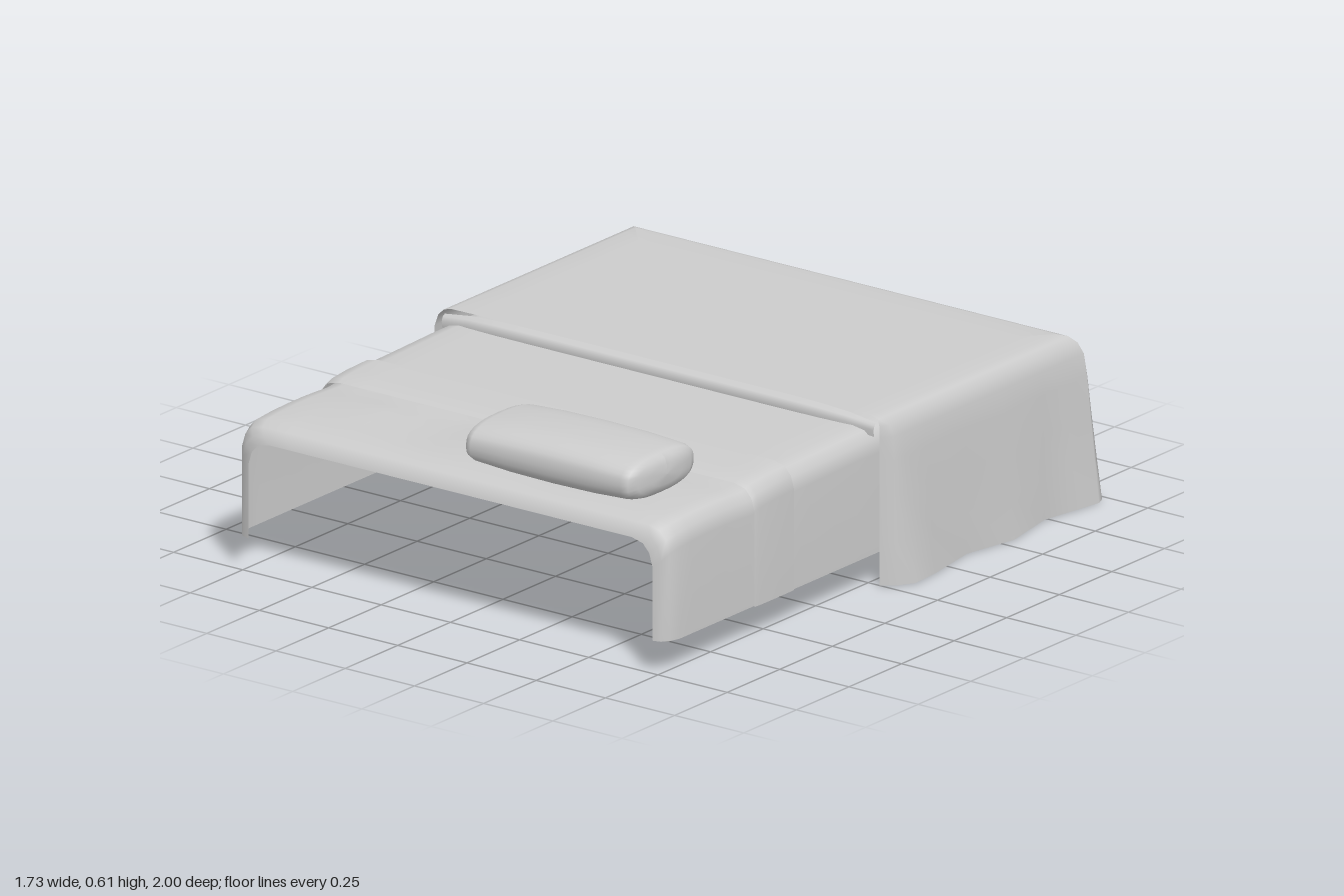
import * as THREE from 'three';

const material = new THREE.MeshStandardMaterial({ color: 0xcccccc, side: THREE.DoubleSide });

// Smooth skin over rows of [x, y, z] points, all rows of equal length
function loft(name, rows) {
  const n = rows[0].length, index = [];
  for (let i = 0; i < rows.length - 1; i++) {
    for (let j = 0; j < n - 1; j++) {
      const a = i * n + j, b = a + 1, c = a + n, d = c + 1;
      index.push(a, b, c, b, d, c);
    }
  }
  const g = new THREE.BufferGeometry();
  g.setAttribute('position', new THREE.Float32BufferAttribute(rows.flat(2), 3));
  g.setIndex(index);
  g.computeVertexNormals();
  const mesh = new THREE.Mesh(g, material);
  mesh.name = name;
  return mesh;
}

// Upside-down U across the bed: half width w, top height t, lower edge at 0.1
function sheetRow(z, w, t, bump = () => 0) {
  const half = [[w, 0.1], [w, t - 0.075], [w - 0.012, t - 0.035], [w - 0.035, t - 0.01], [w - 0.075, t]];
  const row = half.map(([x, y]) => [x, y, z]);
  for (let i = 1; i < 16; i++) {
    const x = (w - 0.075) * (1 - i / 8);
    row.push([x, t + bump(x, z), z]);
  }
  return row.concat(half.reverse().map(([x, y]) => [-x, y, z]));
}

// Shallow zigzag creases near the pillow end
function crease(x, z) {
  const fade = Math.max(0, 1 - Math.abs(z - 0.72) / 0.18);
  return 0.009 * fade * Math.cos(x * 12.5);
}

function createSheet() {
  const rows = [[-0.93, 0.775, 0.45], [-0.5, 0.78, 0.455], [0, 0.78, 0.46], [0.55, 0.782, 0.46],
    [0.6, 0.782, 0.455], [0.66, 0.782, 0.458], [0.72, 0.782, 0.46], [0.8, 0.782, 0.46], [0.88, 0.782, 0.457],
    [0.94, 0.782, 0.452], [0.975, 0.772, 0.44], [0.993, 0.755, 0.42], [1, 0.73, 0.4]];
  return loft('fittedSheet', rows.map(([z, w, t]) => sheetRow(z, w, t, crease)));
}

function createBlanket() {
  // Wavy hem, from the left front corner round the back to the right one
  const hem = [[0.79, 0], [0.83, -0.03], [0.86, -0.08], [0.855, -0.18], [0.825, -0.37], [0.86, -0.55], [0.825, -0.74],
    [0.845, -0.85], [0.862, -0.95], [0.85, -0.98], [0.8, -0.99], [0.7, -0.965], [0.55, -0.945], [0.35, -0.96],
    [0.12, -0.99], [-0.17, -0.945], [-0.42, -1], [-0.63, -0.955], [-0.72, -0.965], [-0.8, -0.985], [-0.845, -0.97],
    [-0.866, -0.92], [-0.85, -0.83], [-0.868, -0.74], [-0.84, -0.62], [-0.868, -0.38], [-0.85, -0.2], [-0.82, 0]];
  // height, share of hem shape, inset from the shoulder, scale towards the middle
  const levels = [[0, 1, 0, 1], [0.13, 0.68, 0, 1], [0.26, 0.38, 0, 1], [0.38, 0.12, 0, 1], [0.45, 0, 0.003, 1],
    [0.485, 0, 0.016, 1], [0.505, 0, 0.035, 1], [0.513, 0, 0.06, 1], [0.514, 0, 0.06, 0.9], [0.514, 0, 0.06, 0.5],
    [0.514, 0, 0.06, 0]];
  return loft('blanket', levels.map(([y, share, inset, s]) => hem.map(([x, z]) => {
    const lim = 0.82 - inset;
    const tx = THREE.MathUtils.clamp(x, -lim, lim), tz = Math.max(z, -0.94 + inset);
    return [(tx + (x - tx) * share) * s, y, (tz + (z - tz) * share) * s];
  })));
}

// Rolled front edge of the blanket
function createBlanketLip() {
  const profile = [[0.475, 0.032], [0.495, 0.036], [0.508, 0.025], [0.514, 0]];
  return loft('blanketLip', profile.map(([y, z]) => {
    const row = [];
    for (let i = 0; i <= 16; i++) {
      const u = 1 - i / 8, end = Math.pow(Math.abs(u), 8);
      row.push([-u * 0.78, y - 0.02 * end, z * (1 - 0.6 * end)]);
    }
    return row.reverse();
  }));
}

function createPillow() {
  // x, half depth, half height
  const sections = [[-0.316, 0, 0], [-0.314, 0.07, 0.03], [-0.306, 0.125, 0.05], [-0.292, 0.157, 0.06],
    [-0.27, 0.166, 0.066], [-0.15, 0.168, 0.074]];
  const all = [...sections, [0, 0.168, 0.077], ...sections.slice().reverse().map(([x, d, h]) => [-x, d, h])];
  const bend = (v) => Math.sign(v) * Math.pow(Math.abs(v), 0.75);
  const pillow = loft('pillow', all.map(([x, d, h]) => {
    const ring = [];
    for (let i = 0; i <= 32; i++) {
      const a = (i / 32) * Math.PI * 2;
      ring.push([x, h * bend(Math.cos(a)), d * bend(Math.sin(a))]);
    }
    return ring;
  }));
  pillow.position.set(0.318, 0.533, 0.803);
  return pillow;
}

export function createModel() {
  const model = new THREE.Group();
  model.name = 'bedding';
  model.add(createSheet());

  // Closed far end of the sheet, under the blanket
  const end = new THREE.Mesh(new THREE.PlaneGeometry(1.5, 0.33), material);
  end.name = 'sheetEnd';
  end.position.set(0, 0.265, -0.93);
  end.rotation.y = Math.PI;
  model.add(end);

  // Top sheet and its turned-back band
  model.add(loft('topSheet', [[-0.14, 0.785, 0.48], [0.1, 0.785, 0.479], [0.3, 0.785, 0.474], [0.41, 0.785, 0.472]]
    .map(([z, w, t]) => sheetRow(z, w, t))));
  model.add(loft('turnedBackBand', [[0.405, 0.79, 0.481], [0.5, 0.791, 0.478], [0.57, 0.79, 0.472], [0.59, 0.788, 0.463]]
    .map(([z, w, t]) => sheetRow(z, w, t))));

  model.add(createBlanket(), createBlanketLip(), createPillow());
  return model;
}
